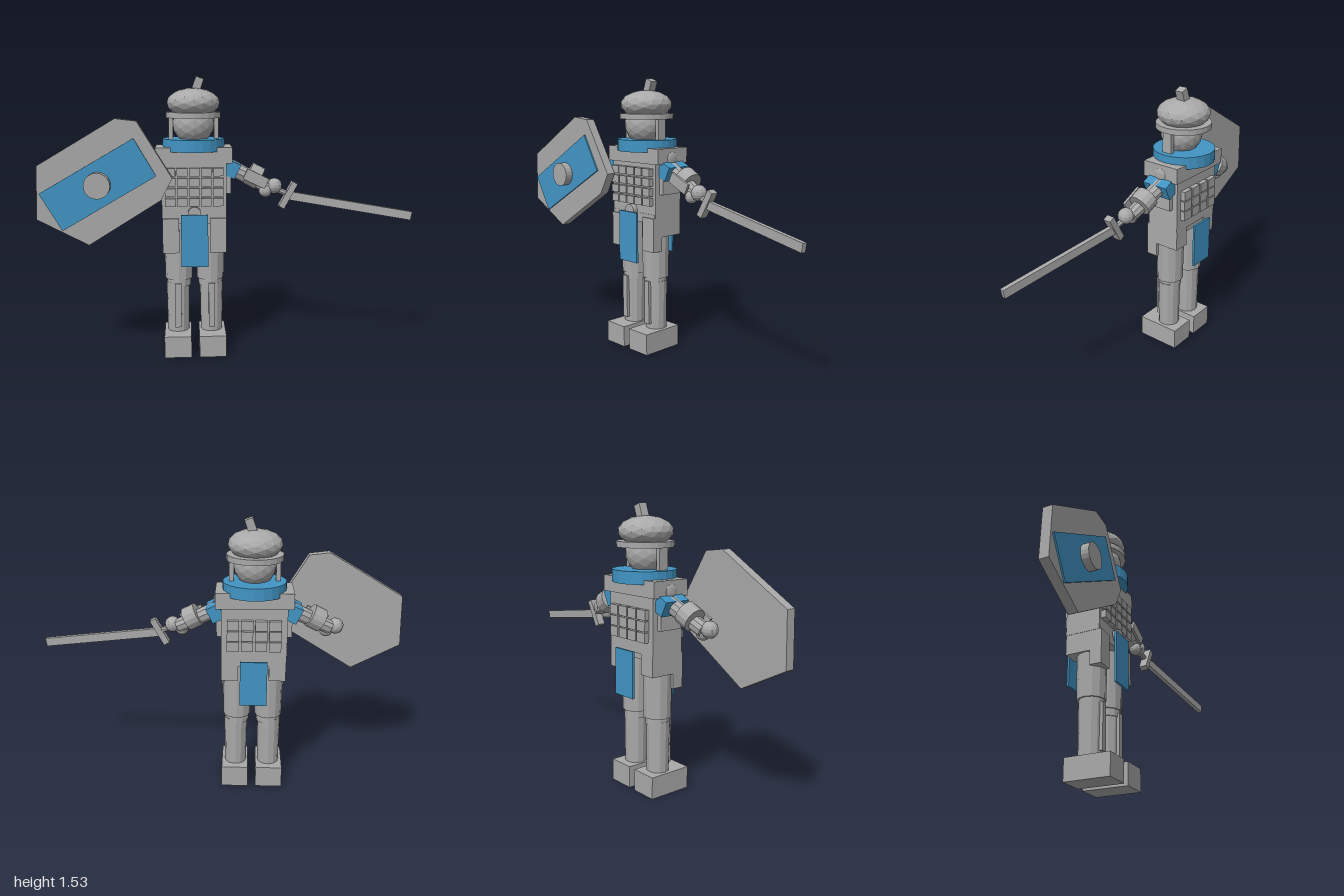
import * as THREE from 'three';

export function createModel() {
  const model = new THREE.Group();
  model.name = 'knight';
  const steel = new THREE.MeshStandardMaterial({ color: 0xa9a9a9, flatShading: true });
  steel.name = 'steel grey';
  const cloth = new THREE.MeshStandardMaterial({ color: 0x4194c4, flatShading: true });
  cloth.name = 'cloth blue';
  const CX = -0.18, CZ = -0.035; // body axis

  function add(name, geo, x, y, z, mat = steel, rz = 0) {
    const m = new THREE.Mesh(geo, mat);
    m.name = name;
    m.position.set(x, y, z);
    m.rotation.z = rz;
    model.add(m);
    return m;
  }
  const box = (w, h, d) => new THREE.BoxGeometry(w, h, d);
  const cyl = (r1, r2, h, n = 16) => new THREE.CylinderGeometry(r1, r2, h, n);
  const ball = (r) => new THREE.SphereGeometry(r, 12, 9);

  // Rod between two points
  function rod(name, a, b, r1, r2, n) {
    const p = new THREE.Vector3(...a), q = new THREE.Vector3(...b);
    const dir = q.clone().sub(p);
    const m = add(name, cyl(r2, r1, dir.length(), n), 0, 0, 0);
    m.position.copy(p).add(q).multiplyScalar(0.5);
    m.quaternion.setFromUnitVectors(new THREE.Vector3(0, 1, 0), dir.normalize());
    return m;
  }

  // Torso
  add('torso', box(0.35, 0.33, 0.193), CX, 0.935, -0.034);
  add('shoulderYoke', box(0.41, 0.085, 0.22), CX, 1.11, -0.04);
  add('sideArmour', box(0.4, 0.16, 0.13), CX, 0.98, -0.035);
  add('pelvis', box(0.34, 0.05, 0.19), CX, 0.765, -0.03);
  for (let r = 0; r < 4; r++)
    for (let c = -2; c <= 2; c++)
      add('chestPlate', box(0.056, 0.043, 0.03), CX + c * 0.064, 1.023 - r * 0.054, 0.075);
  for (let r = 0; r < 3; r++)
    for (let c = -1.5; c <= 1.5; c++)
      add('backPlate', box(0.064, 0.052, 0.03), CX + c * 0.074, 0.979 - r * 0.058, -0.142);

  // Hanging cloths and buckle
  add('frontCloth', box(0.145, 0.285, 0.012), CX, 0.653, 0.104, cloth);
  add('backCloth', box(0.145, 0.25, 0.012), CX, 0.66, -0.172, cloth);
  add('buckle', cyl(0.035, 0.035, 0.03), CX, 0.802, 0.083).rotation.x = Math.PI / 2;

  // Collar and head
  add('collar', cyl(0.168, 0.168, 0.065, 24), CX, 1.162, -0.042, cloth);
  add('head', new THREE.IcosahedronGeometry(0.113, 2), CX, 1.275, -0.025);
  add('helmet', new THREE.IcosahedronGeometry(0.144, 2), CX, 1.385, CZ).scale.y = 0.55;
  add('helmetRim', cyl(0.15, 0.15, 0.03, 24), CX, 1.321, -0.037);
  add('crest', box(0.045, 0.08, 0.047), -0.157, 1.48, -0.043, steel, -0.35);

  for (const s of [-1, 1]) {
    const X = (dx) => CX + s * dx;
    add('cheekGuard', box(0.024, 0.15, 0.055), X(0.122), 1.26, -0.028);

    // Legs
    add('foot', box(0.148, 0.12, 0.25), X(0.096), 0.06, 0.002);
    add('lowerLeg', cyl(0.064, 0.06, 0.29, 12), X(0.093), 0.255, -0.02);
    add('knee', cyl(0.066, 0.066, 0.04, 12), X(0.088), 0.4, -0.02);
    add('upperLeg', cyl(0.08, 0.075, 0.36, 12), X(0.088), 0.6, -0.022);
    add('shinGuard', box(0.035, 0.25, 0.03), X(0.093), 0.275, 0.04);
    add('frontTasset', box(0.09, 0.19, 0.065), X(0.128), 0.675, 0.042);
    add('backTasset', box(0.09, 0.12, 0.14), X(0.128), 0.72, -0.06);

    // Arms
    add('shoulderRivet', ball(0.04), X(0.2), 1.095, -0.037).scale.x = 0.35;
    add('sleeve', box(0.07, 0.085, 0.15), X(0.205), 1.03, -0.04, cloth, -s * 0.45);
    rod('arm', [X(0.2), 1.035, -0.04], [X(0.41), 0.93, -0.01], 0.045, 0.038, 10);
    rod('vambrace', [X(0.298), 1.005, -0.031], [X(0.362), 0.971, -0.026], 0.063, 0.063, 14);
    add('vambracePlate', box(0.13, 0.06, 0.014), X(0.335), 0.98, 0.042, steel, -s * 0.45);
    add('hand', ball(0.043), X(0.44), 0.935, 0);
    add('thumb', ball(0.036), X(0.39), 0.91, 0.005);
  }

  // Sword
  rod('swordGrip', [0.25, 0.925, 0], [0.35, 0.885, 0.015], 0.016, 0.016, 8);
  add('swordGuard', box(0.034, 0.155, 0.045), 0.333, 0.888, 0.018, steel, -0.5);
  const tip = new THREE.Vector3(0.995, 0.781, 0.115), hilt = new THREE.Vector3(0.33, 0.885, 0.015);
  const blade = add('swordBlade', box(tip.distanceTo(hilt), 0.046, 0.025), 0, 0, 0);
  blade.position.copy(tip).add(hilt).multiplyScalar(0.5);
  blade.quaternion.setFromUnitVectors(new THREE.Vector3(1, 0, 0), tip.sub(hilt).normalize());

  // Shield
  const outline = [[-0.585, 1.31], [-0.475, 1.297], [-0.295, 1.0], [-0.355, 0.885],
    [-0.735, 0.65], [-1.0, 0.79], [-0.99, 1.07]].map(([x, y]) => new THREE.Vector2(x, y));
  add('shield', new THREE.ExtrudeGeometry(new THREE.Shape(outline), { depth: 0.052, bevelEnabled: false }),
    0, 0, 0.105);
  add('shieldPanel', box(0.567, 0.227, 0.009), -0.68, 0.97, 0.161, cloth, Math.PI / 6);
  add('shieldBoss', cyl(0.068, 0.068, 0.055, 20), -0.68, 0.97, 0.182).rotation.x = Math.PI / 2;

  return model;
}
